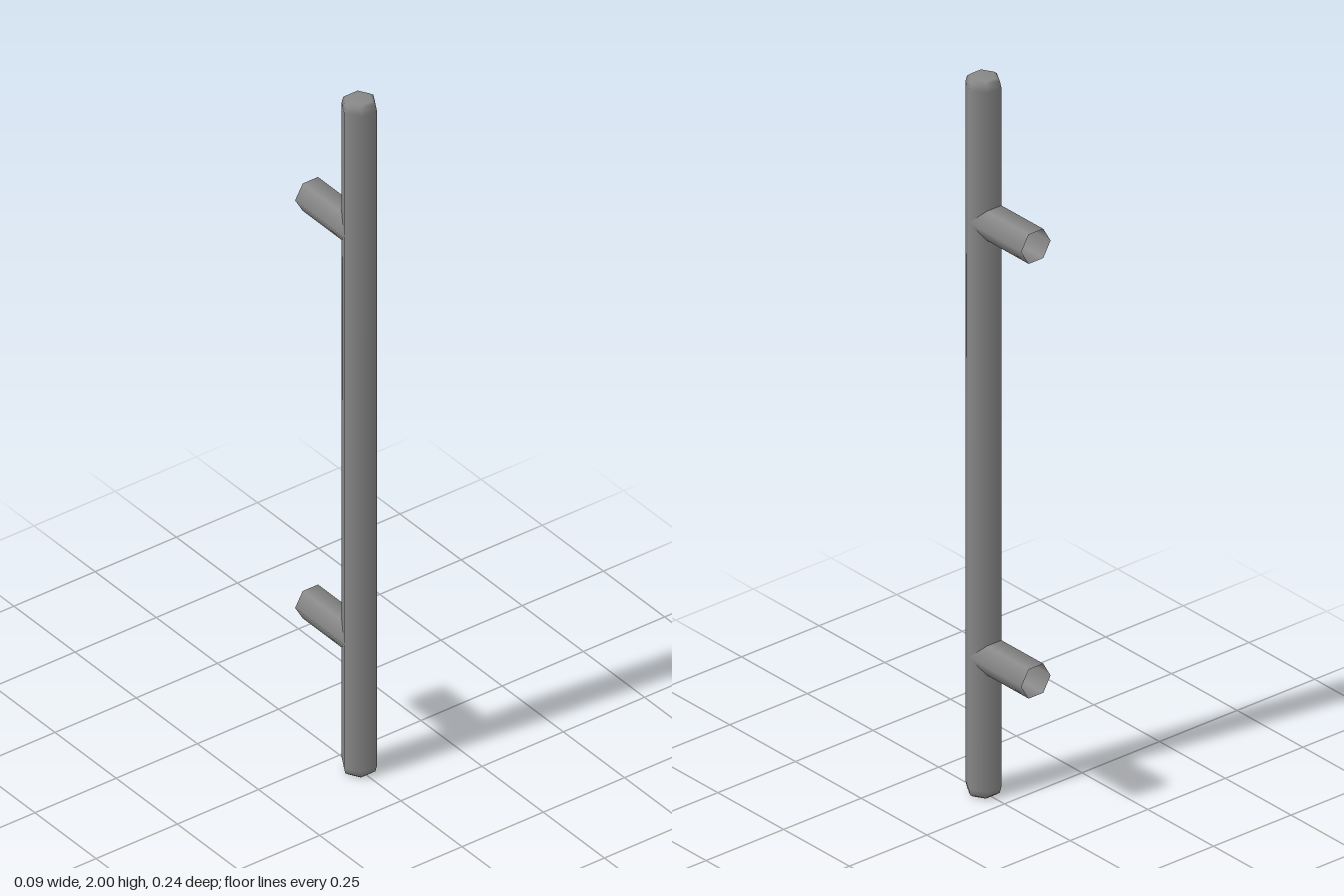
import * as THREE from 'three';

const R = 0.047;      // corner radius of the six-sided bar and posts
const BAR_Z = 0.08;   // depth of the bar's axis
const BACK_Z = -0.12; // open ends of the posts

export function createModel() {
  const group = new THREE.Group();
  const material = new THREE.MeshStandardMaterial({ color: 0x888888 });
  const openMaterial = new THREE.MeshStandardMaterial({ color: 0x888888, side: THREE.DoubleSide });

  // Upright bar with softened ends, corners pointing left and right
  const end = [[0, 0], [0.034, 0], [0.043, 0.007], [R, 0.024]];
  const profile = [
    ...end.map(([r, y]) => new THREE.Vector2(r, y)),
    ...end.map(([r, y]) => new THREE.Vector2(r, 2 - y)).reverse(),
  ];
  const bar = new THREE.Mesh(new THREE.LatheGeometry(profile, 6, Math.PI / 2), material);
  bar.name = 'handleBar';
  bar.position.z = BAR_Z;
  group.add(bar);

  // Two hollow posts running back from the bar
  const postGeometry = new THREE.CylinderGeometry(R, R, BAR_Z - BACK_Z, 6, 1, true, Math.PI / 2);
  postGeometry.rotateX(Math.PI / 2);
  for (const [name, y] of [['lowerPost', 0.392], ['upperPost', 1.606]]) {
    const post = new THREE.Mesh(postGeometry, openMaterial);
    post.name = name;
    post.position.set(0, y, (BAR_Z + BACK_Z) / 2);
    group.add(post);
  }
  return group;
}
